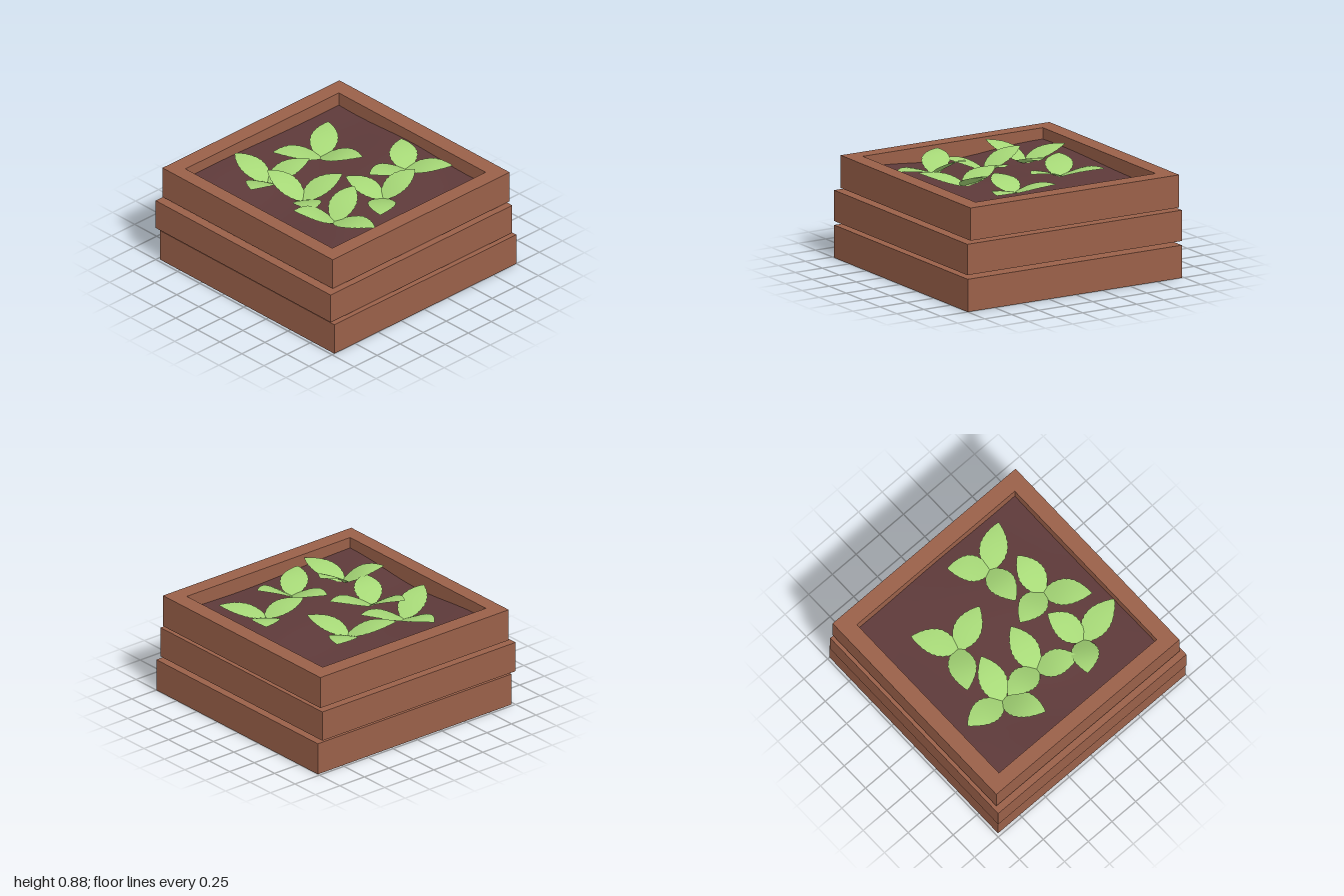
import * as THREE from 'three';

const wood = new THREE.MeshStandardMaterial({ color: 0x9a6049 });
wood.name = 'wood';
const soilMat = new THREE.MeshStandardMaterial({ color: 0x5e3a3a, side: THREE.DoubleSide });
soilMat.name = 'soil';
const leafMat = new THREE.MeshStandardMaterial({ color: 0xa6d877, side: THREE.DoubleSide });
leafMat.name = 'leaf green';

const soilHeight = (x, z) => 0.725 + 0.025 * Math.sin(3.1 * x + 0.6) * Math.cos(2.3 * z) + 0.012 * Math.sin(5 * z + 2 * x);

// Box given by its lower and upper corners
function slab(name, x0, x1, y0, y1, z0, z1) {
  const mesh = new THREE.Mesh(new THREE.BoxGeometry(x1 - x0, y1 - y0, z1 - z0), wood);
  mesh.position.set((x0 + x1) / 2, (y0 + y1) / 2, (z0 + z1) / 2);
  mesh.name = name;
  return mesh;
}

// Open square frame for the top tier
function topFrame() {
  const rect = (Path, x0, x1, z0, z1) => {
    const p = new Path();
    p.moveTo(x0, -z1).lineTo(x1, -z1).lineTo(x1, -z0).lineTo(x0, -z0).closePath();
    return p;
  };
  const shape = rect(THREE.Shape, -0.95, 0.97, -0.975, 0.955);
  shape.holes.push(rect(THREE.Path, -0.83, 0.835, -0.84, 0.825));
  const geo = new THREE.ExtrudeGeometry(shape, { depth: 0.265, bevelEnabled: false });
  geo.rotateX(-Math.PI / 2);
  const mesh = new THREE.Mesh(geo, wood);
  mesh.position.y = 0.565;
  mesh.name = 'topFrame';
  return mesh;
}

// Gently uneven earth
function soilBed() {
  const geo = new THREE.PlaneGeometry(1.68, 1.68, 14, 14).rotateX(-Math.PI / 2);
  const p = geo.attributes.position;
  for (let i = 0; i < p.count; i++) p.setY(i, soilHeight(p.getX(i), p.getZ(i)));
  geo.computeVertexNormals();
  const mesh = new THREE.Mesh(geo, soilMat);
  mesh.name = 'soil';
  return mesh;
}

// Arched pointed leaf from a base point to its tip, with lightly toothed edges
function leaf(base, tip) {
  const n = 18;
  const geo = new THREE.PlaneGeometry(1, 1, 4, n);
  const p = geo.attributes.position;
  const dx = tip.x - base.x, dz = tip.z - base.z, len = Math.hypot(dx, dz);
  for (let i = 0; i < p.count; i++) {
    const side = p.getX(i) * 2;
    const t = p.getY(i) + 0.5;
    const tooth = Math.round(t * n) % 2 ? 1.03 : 0.97;
    const half = (0.1 * Math.sin(Math.PI * Math.pow(t, 0.88)) ** 0.85 + 0.02 * (1 - t)) * tooth;
    const w = side * (t > 0.999 ? 0 : half);
    const rise = 0.55 * t + 0.45 * Math.sin(t * Math.PI / 2);
    p.setXYZ(i,
      base.x + dx * t - dz / len * w,
      base.y + (tip.y - base.y) * rise + 0.02 * Math.sin(Math.PI * t) - 0.006 * side * side * Math.sin(Math.PI * t),
      base.z + dz * t + dx / len * w);
  }
  geo.computeVertexNormals();
  const mesh = new THREE.Mesh(geo, leafMat);
  mesh.name = 'leaf';
  return mesh;
}

// Each seedling: root x, z, then three leaf tips as x, y, z
const seedlings = [
  [-0.37, -0.39, [-0.37, 0.82, -0.76], [-0.70, 0.85, -0.23], [-0.01, 0.82, -0.29]],
  [0.18, -0.36, [-0.15, 0.82, -0.56], [0.48, 0.825, -0.59], [0.31, 0.82, -0.02]],
  [-0.35, -0.01, [-0.40, 0.85, -0.36], [0.02, 0.82, 0.05], [-0.52, 0.81, 0.28]],
  [-0.42, 0.42, [-0.68, 0.85, 0.23], [-0.11, 0.88, 0.32], [-0.35, 0.81, 0.81]],
  [0.08, 0.45, [-0.01, 0.84, 0.12], [0.41, 0.88, 0.47], [-0.20, 0.82, 0.71]],
  [0.50, 0.26, [0.15, 0.83, 0.22], [0.71, 0.83, 0], [0.73, 0.82, 0.56]],
];

export function createModel() {
  const model = new THREE.Group();
  model.name = 'planter';

  // Three slightly shifted wooden tiers around a core
  model.add(
    slab('bottomTier', -0.975, 1, 0, 0.265, -0.98, 1),
    slab('middleTier', -1, 0.97, 0.29, 0.54, -1, 0.985),
    slab('core', -0.775, 0.775, 0.2, 0.64, -0.78, 0.77),
    topFrame(),
    soilBed(),
  );

  for (const [x, z, ...tips] of seedlings) {
    const plant = new THREE.Group();
    plant.name = 'seedling';
    const base = new THREE.Vector3(x, soilHeight(x, z), z);
    for (const t of tips) plant.add(leaf(base, new THREE.Vector3(...t)));
    model.add(plant);
  }
  return model;
}
